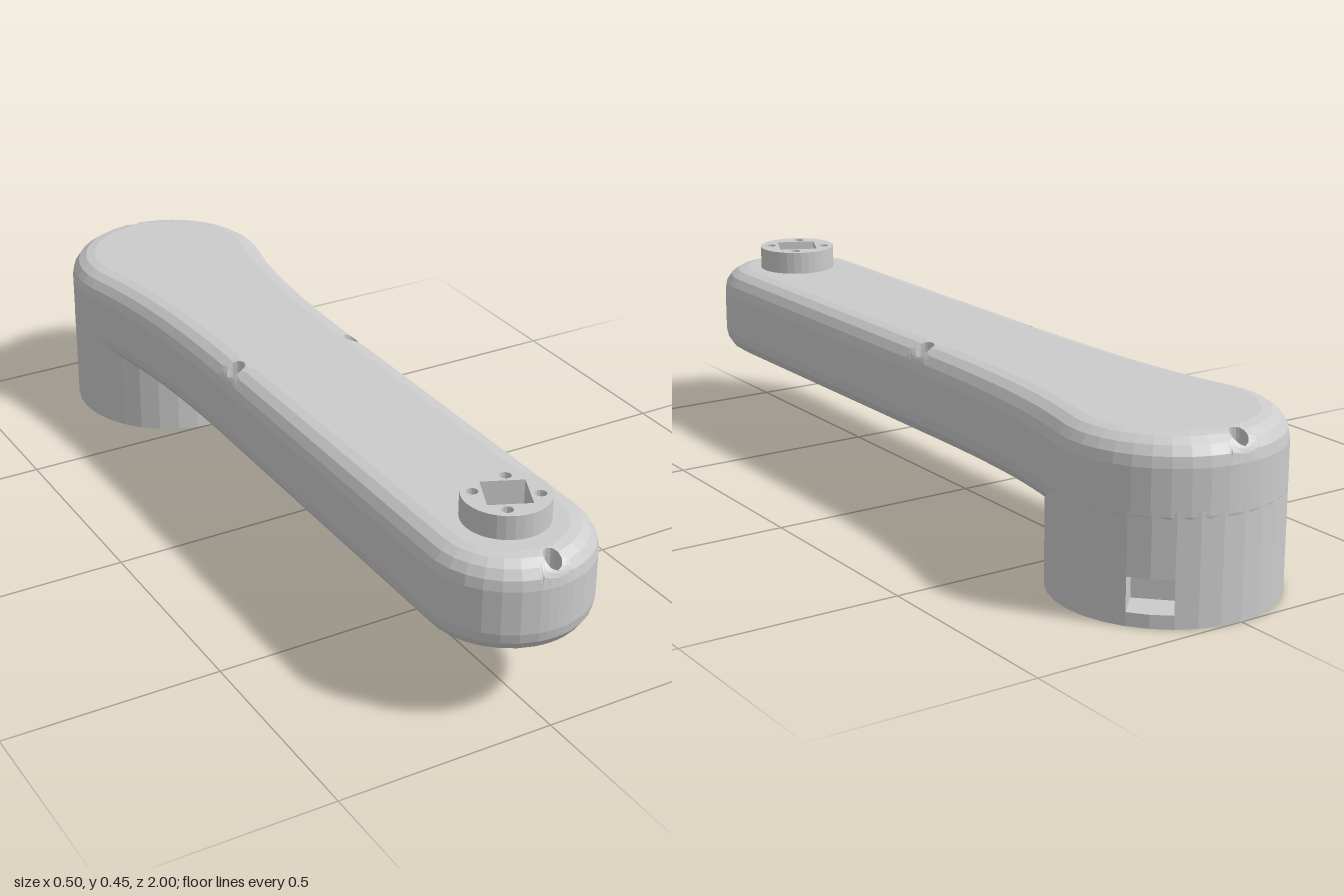
import * as THREE from 'three';

const TOP = 0.395, BOTTOM = 0.175, FILLET = 0.06, STEPS = 4;
const DRUM_Z = -0.75, DRUM_R = 0.25, HUB_Z = 0.805, HUB_R = 0.095, HUB_TOP = 0.45;
const END_R = 0.188, END_Z = 0.812;
const rad = THREE.MathUtils.degToRad;

const material = new THREE.MeshStandardMaterial({ color: 0xcccccc, flatShading: true, side: THREE.DoubleSide });

function add(parent, name, geometry, x = 0, y = 0, z = 0) {
  const flat = geometry.index ? geometry.toNonIndexed() : geometry;
  flat.computeVertexNormals();
  const mesh = new THREE.Mesh(flat, material);
  mesh.name = name;
  mesh.position.set(x, y, z);
  parent.add(mesh);
  return mesh;
}

// Skin through rows of points
function skin(rows) {
  const n = rows[0].length, index = [];
  for (let i = 0; i < rows.length - 1; i++) {
    for (let j = 0; j < n - 1; j++) {
      const a = i * n + j, b = a + n;
      index.push(a, b, b + 1, a, b + 1, a + 1);
    }
  }
  const g = new THREE.BufferGeometry().setFromPoints(rows.flat());
  g.setIndex(index);
  return g;
}

// Regular polygon in plan (x, z), angles measured as in LatheGeometry
const ngon = ({ x = 0, z = 0, r, sides = 16, rot = 0 }) => Array.from({ length: sides }, (_, i) => {
  const a = rot + (i / sides) * Math.PI * 2;
  return new THREE.Vector2(x + r * Math.sin(a), z + r * Math.cos(a));
});

// Horizontal face with holes, facing up or down
function face(outline, holes, up) {
  const shape = new THREE.Shape(outline);
  shape.holes = holes.map((h) => new THREE.Path(ngon(h)));
  const g = new THREE.ShapeGeometry(shape).rotateX(Math.PI / 2);
  if (up) g.index.array.reverse();
  return g;
}

// Blind hole, open at y = 0 and sunk towards -y
const pocket = ({ r, depth, sides = 16, rot = 0 }) => new THREE.LatheGeometry(
  [new THREE.Vector2(r, 0), new THREE.Vector2(r, -depth), new THREE.Vector2(0, -depth)], sides, rot);

function buildArm() {
  const arm = new THREE.Group();
  arm.name = 'arm';

  // Plan outline: narrow round end, straight sides, flare into the drum end
  const a = rad(15), jx = DRUM_R * Math.cos(a), jz = DRUM_Z + DRUM_R * Math.sin(a);
  const path = new THREE.Path();
  path.moveTo(END_R, END_Z);
  path.lineTo(END_R, -0.12);
  path.bezierCurveTo(END_R, -0.31, 0.2, -0.53, jx, jz);
  path.absarc(0, DRUM_Z, DRUM_R, a, -Math.PI - a, true);
  path.bezierCurveTo(-0.2, -0.53, -END_R, -0.31, -END_R, -0.12);
  path.lineTo(-END_R, END_Z);
  path.absarc(0, END_Z, END_R, Math.PI, 0, true);
  const L = path.getLength();

  // Point at distance s along the outline, t inwards from it, at height y
  const topY = (t) => TOP - FILLET + Math.sqrt(Math.max(0, FILLET ** 2 - (FILLET - t) ** 2));
  const at = (s, t, y = topY(t)) => {
    const u = Math.min(1, s / L), p = path.getPoint(u), d = path.getTangent(u);
    return new THREE.Vector3(p.x + d.y * t, y, p.y - d.x * t);
  };
  const inset = Array.from({ length: STEPS + 1 },
    (_, k) => FILLET * (1 - Math.cos((k / STEPS) * Math.PI / 2)));
  const insetIn = [...inset].reverse();

  // Split the outline into plain spans and windows that hold a screw recess
  const endArc = Math.PI * END_R, sideScrew = END_Z + 0.07, half = 0.04;
  const screws = [sideScrew, (L - endArc) / 2, L - endArc - sideScrew, L - endArc / 2];
  const range = (s0, s1, n) => Array.from({ length: n + 1 }, (_, i) => s0 + (s1 - s0) * i / n);
  const all = [0];
  let from = 0;
  const plainSpan = (s1) => {
    const s = range(from, s1, Math.ceil((s1 - from) / 0.04));
    add(arm, 'topFillet', skin(insetIn.map((t) => s.map((v) => at(v, t)))));
    all.push(...s.slice(1));
  };
  for (const c of screws) {
    plainSpan(c - half);
    const s = range(c - half, c + half, STEPS), s0 = s[0], s1 = s[STEPS];
    all.push(...s.slice(1));
    from = s1;

    // Counterbored recess blended out to the window's border
    const border = [
      ...s.map((v) => [v, 0]),
      ...inset.slice(1).map((t) => [s1, t]),
      ...s.slice(0, -1).reverse().map((v) => [v, FILLET]),
      ...insetIn.slice(1).map((t) => [s0, t]),
    ];
    const mid = 0.031, R = 0.022;
    const onCircle = ([v, t], k) => {
      const q = Math.atan2(t - mid, v - c);
      return [c + R * k * Math.cos(q), mid + R * k * Math.sin(q)];
    };
    const sunk = [[0, 0.3], [0.5, 0.3], [0.5, 0.345], [1, 0.345]]
      .map(([k, y]) => border.map((b) => at(...onCircle(b, k), y)));
    const blend = [0, 0.35, 0.7, 1].map((f) => border.map((b) => {
      const o = onCircle(b, 1);
      return at(o[0] + (b[0] - o[0]) * f, o[1] + (b[1] - o[1]) * f);
    }));
    add(arm, 'screwRecess', skin([...sunk, ...blend]));
  }
  plainSpan(L);

  // Side wall and lower fillet
  const lower = [[0, TOP - FILLET], ...inset.map((t) => [t, TOP + BOTTOM - topY(t)])];
  add(arm, 'sideWall', skin(lower.map(([t, y]) => all.map((s) => at(s, t, y)))));

  // Flat top, open under the hub, and flat underside
  const rim = all.slice(0, -1).map((s) => at(s, FILLET)).map((p) => new THREE.Vector2(p.x, p.z));
  add(arm, 'topFace', face(rim, [{ z: HUB_Z, r: HUB_R, sides: 32 }], true), 0, TOP);
  add(arm, 'underside', face(rim, [], false), 0, BOTTOM);
  return arm;
}

function buildHub() {
  const hub = new THREE.Group();
  hub.name = 'hub';
  hub.position.set(0, HUB_TOP, HUB_Z);
  const h = HUB_TOP - TOP;
  add(hub, 'hubWall', new THREE.CylinderGeometry(HUB_R, HUB_R, h, 32, 1, true), 0, -h / 2);

  // Square socket and four screw holes
  const holes = [{ r: 0.067, depth: 0.12, sides: 4, rot: rad(21) }];
  for (let i = 0; i < 4; i++) {
    const q = rad(57.5 + i * 90);
    holes.push({ x: 0.069 * Math.sin(q), z: 0.069 * Math.cos(q), r: 0.013, depth: 0.1, sides: 12 });
  }
  add(hub, 'hubFace', face(ngon({ r: HUB_R, sides: 32 }), holes, true));
  holes.forEach((p, i) => add(hub, i ? 'hubScrewHole' : 'squareSocket', pocket(p), p.x, 0, p.z));
  return hub;
}

function buildDrum() {
  const drum = new THREE.Group();
  drum.name = 'drum';
  drum.position.z = DRUM_Z;

  // Wall in three bands, the middle one interrupted by the slot
  const seg = Math.PI / 16, slotDir = rad(135), slotLow = 0.03, slotHigh = 0.105;
  const band = (y0, y1, sides, start) => add(drum, 'drumWall', new THREE.CylinderGeometry(
    DRUM_R, DRUM_R, y1 - y0, sides, 1, true, start, sides * seg), 0, (y0 + y1) / 2);
  band(0, slotLow, 32, 0);
  band(slotLow, slotHigh, 30, slotDir + seg);
  band(slotHigh, TOP - FILLET - 0.09, 32, 0);

  // Slot pocket
  const slot = pocket({ r: Math.SQRT1_2, depth: 1, sides: 4, rot: Math.PI / 4 })
    .scale(2 * DRUM_R * Math.sin(seg), 0.08, slotHigh - slotLow)
    .rotateX(Math.PI / 2).rotateY(slotDir);
  const d = DRUM_R * Math.cos(seg);
  add(drum, 'slot', slot, d * Math.sin(slotDir), (slotLow + slotHigh) / 2, d * Math.cos(slotDir));

  // Base with centre hole and two rings of four holes
  const holes = [{ r: 0.032, depth: 0.1 }];
  for (let i = 0; i < 4; i++) {
    const x = Math.sin(i * Math.PI / 2), z = Math.cos(i * Math.PI / 2);
    holes.push({ x: x * 0.096, z: z * 0.096, r: 0.018, depth: 0.08 });
    holes.push({ x: x * 0.2, z: z * 0.2, r: 0.011, depth: 0.08, sides: 12 });
  }
  add(drum, 'drumBase', face(ngon({ r: DRUM_R, sides: 32 }), holes, false));
  for (const p of holes) {
    add(drum, 'baseHole', pocket(p).rotateX(Math.PI), p.x, 0, p.z);
  }
  return drum;
}

export function createModel() {
  const model = new THREE.Group();
  model.name = 'crankArm';
  model.add(buildArm(), buildHub(), buildDrum());
  return model;
}
